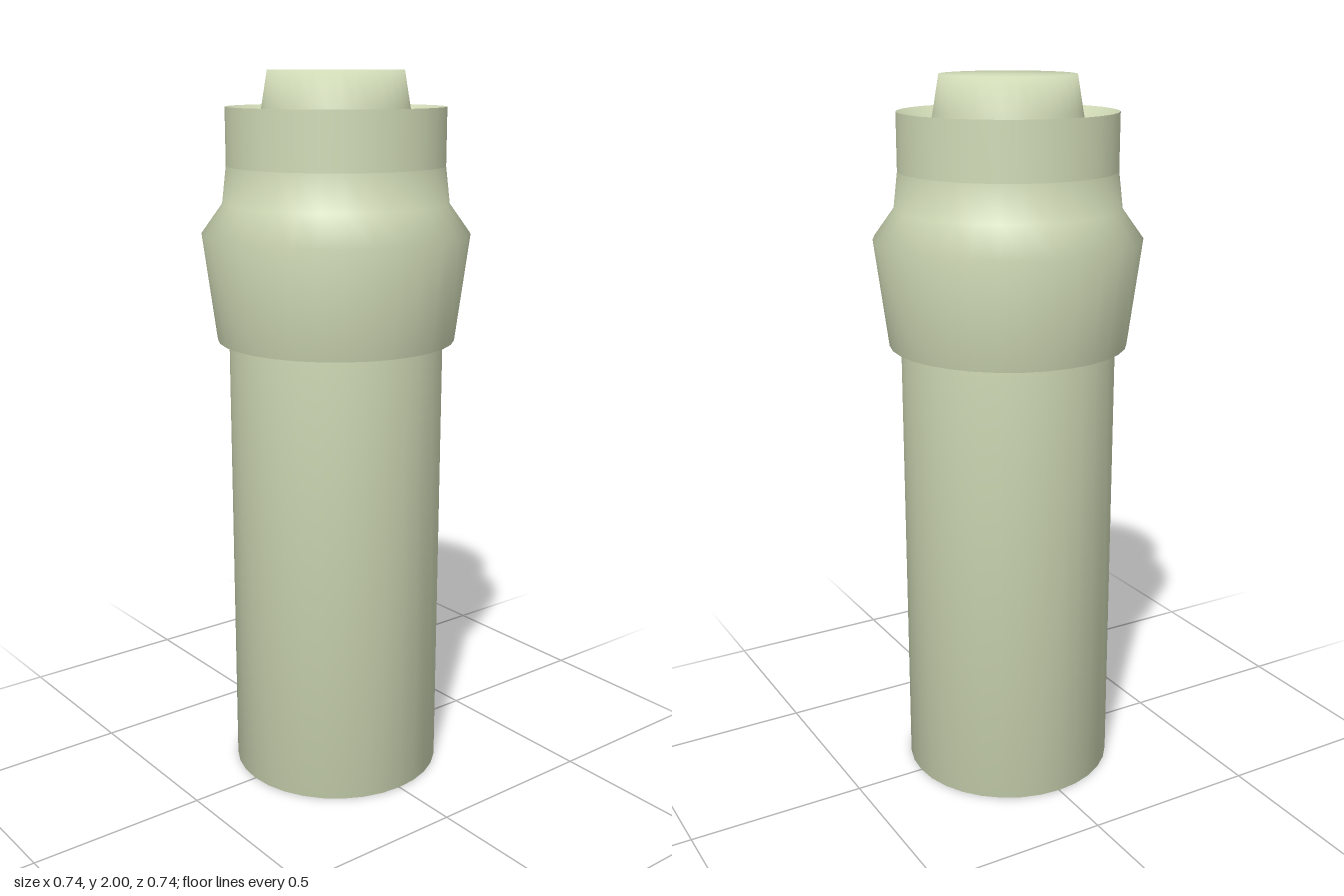
import * as THREE from 'three';

const SEGMENTS = 32;
const material = new THREE.MeshStandardMaterial({ color: 0xd0dab6, side: THREE.DoubleSide });

// Turned part from [radius, height] pairs, listed from the bottom outward and up
function turned(name, profile) {
  const points = profile.map(([r, y]) => new THREE.Vector2(r, y));
  const mesh = new THREE.Mesh(new THREE.LatheGeometry(points, SEGMENTS), material);
  mesh.name = name;
  return mesh;
}

export function createModel() {
  const model = new THREE.Group();
  model.name = 'cylinderWithButton';

  model.add(
    // Long plain barrel with a closed base
    turned('barrel', [[0, 0], [0.298, 0], [0.298, 1.28]]),

    // Flared collar: flat underside, widening skirt, shoulder and neck
    turned('collar', [[0.298, 1.275], [0.33, 1.275], [0.368, 1.57], [0.31, 1.65], [0.298, 1.75]]),

    // Straight upper ring
    turned('upperRing', [[0.298, 1.75], [0.298, 1.905]]),

    // Sloping inner wall of the ring, down to the button
    turned('innerBevel', [[0.298, 1.905], [0.215, 1.83]]),

    // Tapered button with a flat top
    turned('button', [[0.215, 1.83], [0.2, 1.905], [0.184, 2], [0, 2]])
  );

  return model;
}
